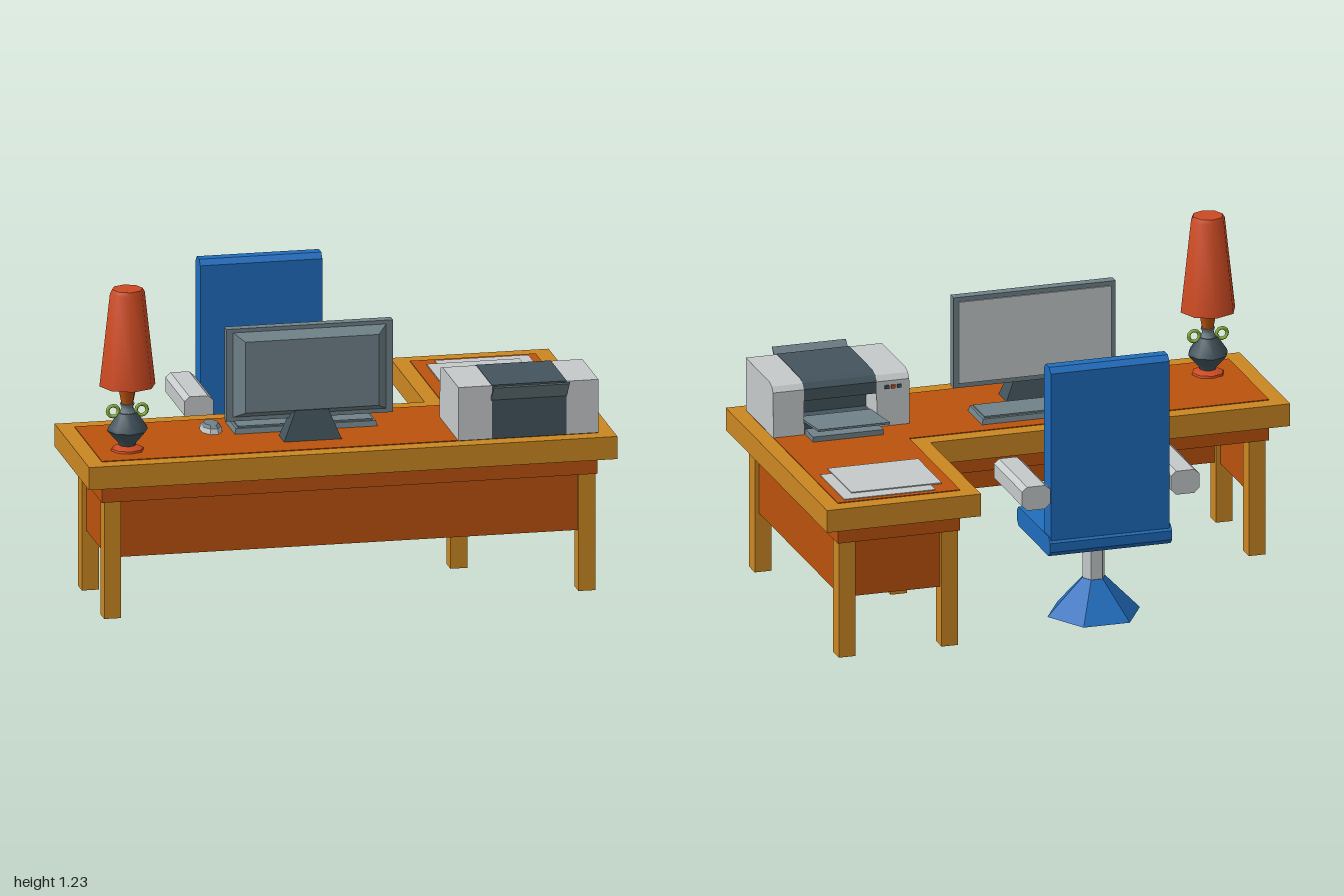
import * as THREE from 'three';
import { toCreasedNormals } from 'three/addons/utils/BufferGeometryUtils.js';

const mat = (name, color) => {
  const m = new THREE.MeshStandardMaterial({ color });
  m.name = name;
  return m;
};

// Box given by its limits on each axis
function boxGeo(x0, x1, y0, y1, z0, z1) {
  return new THREE.BoxGeometry(x1 - x0, y1 - y0, z1 - z0)
    .translate((x0 + x1) / 2, (y0 + y1) / 2, (z0 + z1) / 2);
}

// Box whose positive end along an axis is scaled on the other two axes
function taperedBox(w, h, d, axis, s) {
  const g = new THREE.BoxGeometry(w, h, d), p = g.attributes.position;
  for (let i = 0; i < p.count; i++) {
    if (p.getComponent(i, axis) <= 0) continue;
    for (let k = 0; k < 3; k++) if (k !== axis) p.setComponent(i, k, p.getComponent(i, k) * s[k]);
  }
  g.computeVertexNormals();
  return g;
}

const shapeOf = pts => new THREE.Shape(pts.map(([a, b]) => new THREE.Vector2(a, b)));

// Profile of [z, y] points swept from x0 to x1
function sweepX(pts, x0, x1) {
  return new THREE.ExtrudeGeometry(shapeOf(pts), { depth: x1 - x0, bevelEnabled: false })
    .rotateY(-Math.PI / 2).translate(x1, 0, 0);
}

// L-shaped slab, inset by d from the desk outline
function deskSlab(d, y0, y1) {
  const pts = [[-1 + d, -0.605 + d], [1 - d, -0.605 + d], [1 - d, 0.605 - d],
    [0.4 + d, 0.605 - d], [0.4 + d, -d], [-1 + d, -d]];
  return new THREE.ExtrudeGeometry(shapeOf(pts), { depth: y1 - y0, bevelEnabled: false })
    .rotateX(-Math.PI / 2).translate(0, y0, 0);
}

// Rectangle of [z, y] with cut corners
const chamfered = (z0, z1, y0, y1, c) => [[z0 + c, y0], [z1 - c, y0], [z1, y0 + c], [z1, y1 - c],
  [z1 - c, y1], [z0 + c, y1], [z0, y1 - c], [z0, y0 + c]];

export function createModel() {
  const model = new THREE.Group();
  const gold = mat('golden wood', 0xcb8722), wood = mat('orange wood', 0xbb520d);
  const blue = mat('chair blue', 0x206dbd), light = mat('light grey', 0xc6cacb);
  const mid = mat('mid grey', 0x708289), dark = mat('dark grey', 0x43545d);
  const red = mat('lamp red', 0xcc4a22), green = mat('ring green', 0x8fb53c);

  const group = name => {
    const g = new THREE.Group();
    g.name = name;
    model.add(g);
    return g;
  };
  const add = (parent, name, geo, material, x = 0, y = 0, z = 0) => {
    const m = new THREE.Mesh(geo, material);
    m.name = name;
    m.position.set(x, y, z);
    parent.add(m);
    return m;
  };

  // Desk
  const desk = group('desk');
  add(desk, 'deskTop', deskSlab(0, 0.52, 0.607), gold);
  add(desk, 'deskInlay', deskSlab(0.062, 0.606, 0.61), wood);
  add(desk, 'apron', deskSlab(0.062, 0.45, 0.52), wood);
  for (const [x, z] of [[-0.895, 0.5], [0.9, 0.5], [0.9, -0.503], [0.5, -0.503], [0.5, 0.107], [-0.895, 0.107]])
    add(desk, 'deskLeg', boxGeo(-0.032, 0.032, 0, 0.45, -0.034, 0.034), gold, x, 0, z);
  add(desk, 'frontPanel', boxGeo(-0.87, 0.87, 0.23, 0.45, 0.485, 0.515), wood);
  add(desk, 'longSidePanel', boxGeo(0.885, 0.915, 0.23, 0.45, -0.48, 0.48), wood);
  add(desk, 'shortSidePanel', boxGeo(-0.91, -0.88, 0.23, 0.45, 0.13, 0.48), wood);
  add(desk, 'wingEndPanel', boxGeo(0.52, 0.88, 0.23, 0.45, -0.52, -0.49), wood);

  // Lamp: turned parts with eight sides
  const lamp = group('lamp');
  lamp.position.set(-0.813, 0.61, 0.41);
  const turned = (name, pts, m) => add(lamp, name, toCreasedNormals(
    new THREE.LatheGeometry(pts.map(([r, y]) => new THREE.Vector2(r, y)), 8), 0.85), m);
  turned('lampFoot', [[0, 0], [0.062, 0], [0.06, 0.008], [0.035, 0.02], [0, 0.02]], red);
  turned('lampBody', [[0, 0.015], [0.03, 0.015], [0.035, 0.03], [0.077, 0.078], [0.073, 0.09], [0.036, 0.145], [0, 0.145]], dark);
  turned('lampCollar', [[0, 0.145], [0.03, 0.145], [0.022, 0.165], [0.028, 0.18], [0, 0.18]], mid);
  turned('lampNeck', [[0, 0.178], [0.022, 0.178], [0.037, 0.255], [0, 0.255]], wood);
  turned('lampShade', [[0, 0.25], [0.106, 0.25], [0.066, 0.605], [0.058, 0.62], [0, 0.62]], red);
  for (const s of [-1, 1])
    add(lamp, 'lampRing', new THREE.TorusGeometry(0.021, 0.007, 6, 12), green, s * 0.054, 0.152, 0);

  // Monitor, with its screen towards the chair
  const monitor = group('monitor');
  add(monitor, 'monitorFrame', boxGeo(-0.43, 0.2, 0.685, 1.04, 0.337, 0.375), mid);
  add(monitor, 'monitorBack', taperedBox(0.58, 0.325, 0.045, 2, [0.87, 0.84, 1]), mid, -0.115, 0.863, 0.397);
  add(monitor, 'screen', boxGeo(-0.412, 0.182, 0.703, 1.022, 0.332, 0.338), light);
  add(monitor, 'monitorStand', taperedBox(0.22, 0.12, 0.095, 1, [0.55, 1, 0.6]), dark, -0.115, 0.668, 0.385);

  // Keyboard and mouse
  const keyboard = group('keyboard');
  add(keyboard, 'keyboardBase', taperedBox(0.54, 0.02, 0.17, 1, [0.98, 1, 0.94]), mid, -0.11, 0.62, 0.205);
  add(keyboard, 'keys', boxGeo(-0.365, 0.145, 0.63, 0.636, 0.137, 0.275), mid);
  const mouse = group('mouse');
  const mousePart = (name, r0, r1, h, y, m) => add(mouse, name,
    new THREE.CylinderGeometry(r1, r0, h, 8).rotateY(Math.PI / 8).scale(1, 1, 1.65).toNonIndexed(), m, -0.455, y, 0.215)
    .geometry.computeVertexNormals();
  mousePart('mouseBody', 0.041, 0.037, 0.02, 0.62, light);
  mousePart('mouseTop', 0.037, 0.027, 0.01, 0.635, mid);

  // Printer: two light side blocks around a dark centre with a paper slot
  const printer = group('printer');
  const side = [[0.22, 0.61], [0.55, 0.61], [0.55, 0.815], [0.27, 0.815], [0.24, 0.805], [0.224, 0.785]];
  add(printer, 'printerRightBlock', sweepX(side, 0.41, 0.537), light);
  add(printer, 'printerLeftBlock', sweepX(side, 0.82, 0.94), light);
  add(printer, 'printerCentre', sweepX([[0.225, 0.61], [0.551, 0.61], [0.551, 0.817], [0.27, 0.817],
    [0.24, 0.806], [0.225, 0.785], [0.225, 0.74], [0.35, 0.74], [0.35, 0.65], [0.225, 0.65]], 0.537, 0.82), dark);
  add(printer, 'outputTray', sweepX([[0.065, 0.672], [0.3, 0.646], [0.3, 0.654], [0.065, 0.68]], 0.537, 0.815), mid);
  add(printer, 'trayBase', boxGeo(0.54, 0.815, 0.61, 0.63, 0.13, 0.225), mid);
  add(printer, 'paperFeed', sweepX([[0.55, 0.758], [0.604, 0.82], [0.604, 0.827], [0.545, 0.766]], 0.533, 0.82), mid);
  [dark, red, dark].forEach((m, i) =>
    add(printer, 'button', boxGeo(-0.008, 0.008, 0.755, 0.768, 0.217, 0.224), m, 0.45 + i * 0.024, 0, 0));

  // Sheets of paper
  const papers = group('papers');
  add(papers, 'lowerSheet', boxGeo(0.55, 0.905, 0.609, 0.613, -0.52, -0.23), light);
  add(papers, 'upperSheet', boxGeo(0.508, 0.86, 0.612, 0.617, -0.465, -0.182), light);

  // Chair, six-sided pedestal
  const chair = group('chair');
  add(chair, 'chairSeat', sweepX(chamfered(-0.585, -0.187, 0.32, 0.395, 0.02), -0.35, 0.125), blue);
  add(chair, 'chairBack', sweepX(chamfered(-0.577, -0.495, 0.36, 1.057, 0.02), -0.342, 0.12), blue);
  const hex = (r0, r1, h) => {
    const g = new THREE.CylinderGeometry(r1, r0, h, 6).rotateY(Math.PI / 2).toNonIndexed();
    g.computeVertexNormals();
    return g;
  };
  add(chair, 'chairFoot', hex(0.18, 0.045, 0.14), blue, -0.11, 0.085, -0.383);
  add(chair, 'chairPost', hex(0.043, 0.043, 0.19), light, -0.11, 0.235, -0.383);
  for (const x of [-0.4, 0.18]) {
    const arm = shapeOf([[-0.035, 0.515], [0.035, 0.515], [0.055, 0.535], [0.055, 0.59],
      [0.035, 0.607], [-0.035, 0.607], [-0.055, 0.59], [-0.055, 0.535]]);
    add(chair, 'armRest', new THREE.ExtrudeGeometry(arm, { depth: 0.337, bevelEnabled: false }), light, x, 0, -0.587);
  }
  return model;
}
